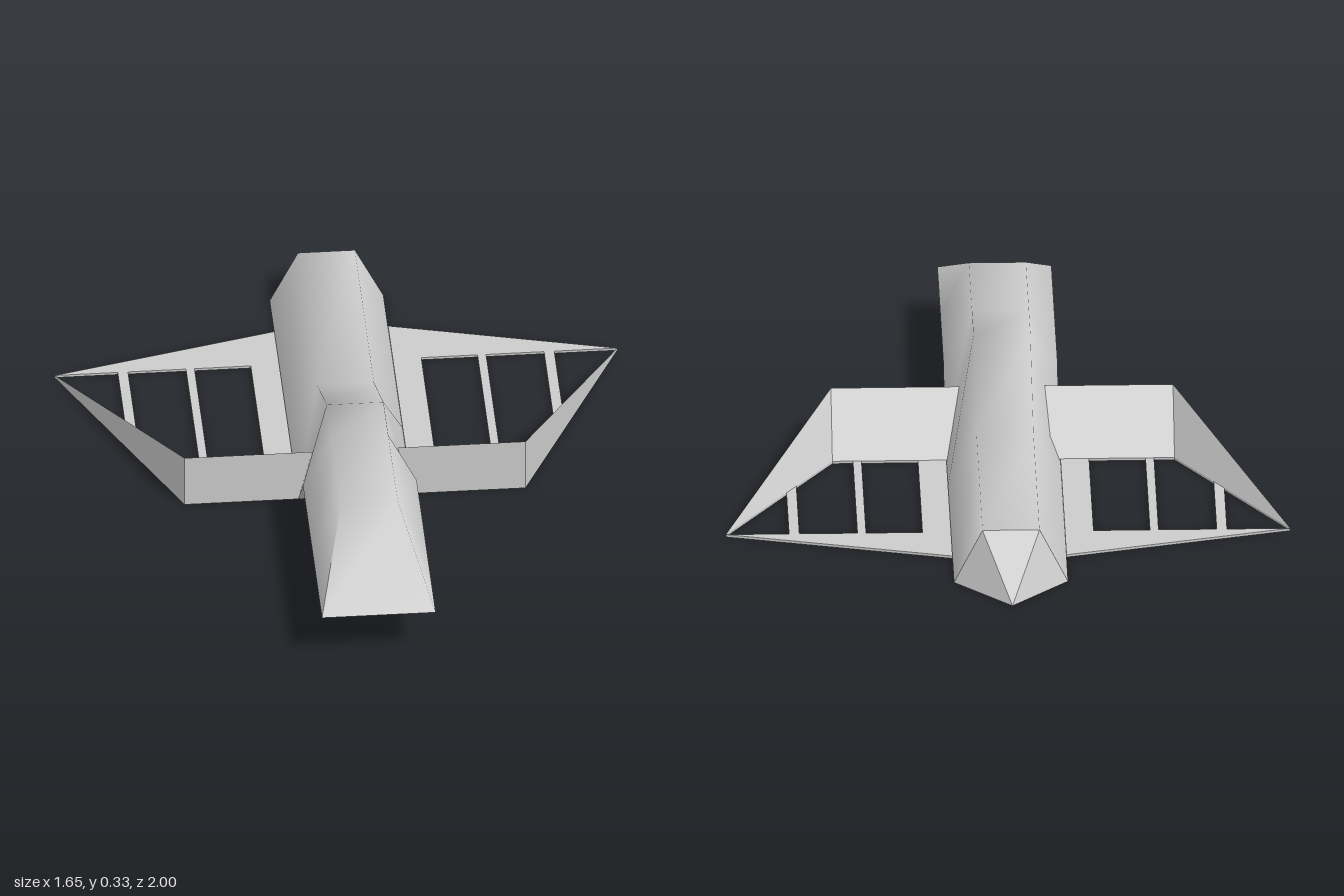
import * as THREE from 'three';
import { ConvexGeometry } from 'three/addons/geometries/ConvexGeometry.js';

const U = 1 / 6;      // basic unit: half the body width
const PLATE = 0.008;  // wing plate thickness
const TIP = 0.825;    // wing tip x

const material = new THREE.MeshStandardMaterial({ color: 0xcccccc });

function add(parent, name, geometry) {
  const mesh = new THREE.Mesh(geometry, material);
  mesh.name = name;
  parent.add(mesh);
}

// Skin a list of cross-sections, each holding the same number of points
function loft(sections, flat = false) {
  const n = sections[0].length;
  const index = [];
  for (let r = 0; r < sections.length - 1; r++) {
    for (let i = 0; i < n - 1; i++) {
      const a = r * n + i, b = a + 1, c = b + n, d = a + n;
      index.push(a, b, c, a, c, d);
    }
  }
  let g = new THREE.BufferGeometry();
  g.setAttribute('position', new THREE.Float32BufferAttribute(sections.flat(2), 3));
  g.setIndex(index);
  if (flat) g = g.toNonIndexed();
  g.computeVertexNormals();
  return g;
}

const convex = (points) => new ConvexGeometry(points.map((p) => new THREE.Vector3(...p)));

// Flat plate lying on the ground, outlined by [x, z] corners
function plate(points) {
  const shape = new THREE.Shape(points.map((p) => new THREE.Vector2(...p)));
  return new THREE.ExtrudeGeometry(shape, { depth: PLATE, bevelEnabled: false })
    .rotateX(Math.PI / 2)
    .translate(0, PLATE, 0);
}

function buildBody(group) {
  // z, top half width, top y, bottom y
  const stations = [
    [1, U, U, U],
    [4 * U, U / 2, 2 * U, U],
    [2 * U, U / 2, 2 * U, U],
    [U, U / 2, 2 * U, 0],
    [-U, U / 2, U, 0],
    [-5 * U, U / 2, U, 0],
  ];
  add(group, 'bodyShell', loft(stations.map(([z, w, top, bottom]) =>
    [[-U, bottom, z], [-w, top, z], [w, top, z], [U, bottom, z]])));
  add(group, 'bodyUnderside', loft(stations.map(([z, , , bottom]) =>
    [[U, bottom, z], [-U, bottom, z]]), true));

  // Pointed tail
  const z = -5 * U;
  add(group, 'tailPoint', convex([
    [-U, 0, z], [U, 0, z], [U / 2, U, z], [-U / 2, U, z], [0, 0, -1],
  ]));
}

function buildWing(side) {
  const wing = new THREE.Group();
  wing.name = side > 0 ? 'leftWing' : 'rightWing';
  const flat = (name, pts) => add(wing, name, plate(pts.map(([x, z]) => [side * x, z])));
  const solid = (name, pts) => add(wing, name, convex(pts.map(([x, y, z]) => [side * x, y, z])));
  const finEdge = (x) => -0.5 * (x - 0.5) / (TIP - 0.5); // inner edge line of the fin

  // Flat frame: rear panel, root strip and two spars
  flat('rearPanel', [[U, -4 * U], [TIP, -0.5], [U, -0.5]]);
  flat('rootStrip', [[U, -0.5], [0.25, -0.5], [0.25, 0], [U, 0]]);
  flat('innerSpar', [[0.415, -0.5], [0.44, -0.5], [0.44, 0], [0.415, 0]]);
  flat('outerSpar', [[0.61, -0.5], [0.64, -0.5], [0.64, finEdge(0.64)], [0.61, finEdge(0.61)]]);

  // Front wedge, upright at the front and sloping down to the rear
  const end = (x) => [[x, 0, U], [x, U, U], [x, 0, 0], [x, PLATE, 0]];
  solid('frontWedge', [...end(U / 2), ...end(0.5)]);

  // Tapered fin running from the wedge back to the tip
  solid('sideFin', [...end(0.5), [TIP, 0, -0.5], [TIP, PLATE, -0.5]]);
  return wing;
}

export function createModel() {
  const model = new THREE.Group();
  model.name = 'glider';

  const body = new THREE.Group();
  body.name = 'body';
  buildBody(body);
  model.add(body);

  for (const side of [1, -1]) model.add(buildWing(side));
  return model;
}
